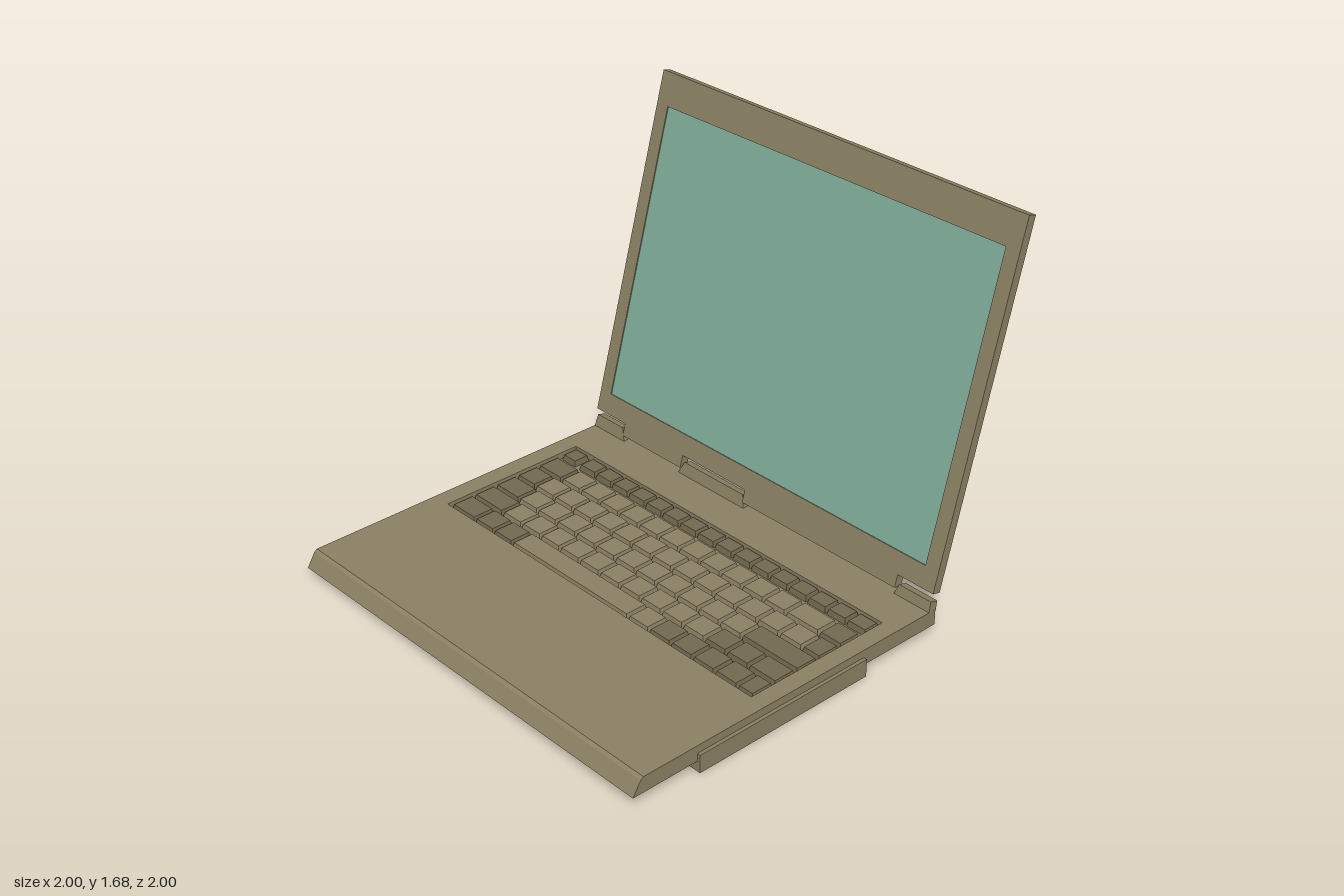
import * as THREE from 'three';

const material = (color) => new THREE.MeshStandardMaterial({ color });
const L = -0.995, R = 0.985; // side edges of base and lid

export function createModel() {
  const model = new THREE.Group();
  const shell = material(0x8c8164);
  const darkKey = material(0x726950);
  const glass = material(0x80ae9a);

  const add = (parent, name, geometry, mat) => {
    const mesh = new THREE.Mesh(geometry, mat);
    mesh.name = name;
    parent.add(mesh);
    return mesh;
  };
  const polygon = (points) => new THREE.Shape(points.map(([x, y]) => new THREE.Vector2(x, y)));
  const rect = (x0, y0, x1, y1) => polygon([[x0, y0], [x1, y0], [x1, y1], [x0, y1]]);
  const extrude = (shape, depth) => new THREE.ExtrudeGeometry(shape, { depth, bevelEnabled: false });
  const box = (x0, x1, y0, y1, z0, z1) => new THREE.BoxGeometry(x1 - x0, y1 - y0, z1 - z0)
    .translate((x0 + x1) / 2, (y0 + y1) / 2, (z0 + z1) / 2);

  // Base deck with an opening for the keyboard
  const deck = rect(L, -0.95, R, 0.583);
  deck.holes.push(rect(-0.91, -0.345, 0.907, 0.363));
  add(model, 'baseDeck', extrude(deck, 0.07).rotateX(-Math.PI / 2).translate(0, 0.045, 0), shell);
  add(model, 'keyboardTray', box(-0.92, 0.917, 0.045, 0.085, -0.37, 0.355), shell);

  // Sloped front lip
  const lip = polygon([[0.95, 0.045], [1, 0.045], [0.964, 0.105], [0.95, 0.115]]);
  add(model, 'frontLip', extrude(lip, R - L).rotateY(-Math.PI / 2).translate(R, 0, 0), shell);

  // Wide slab under the base
  add(model, 'undersideSlab', box(-1, 1, 0, 0.08, -0.18, 0.69), shell);

  // Keys: a box whose top is drawn in on all sides
  const keyboard = new THREE.Group();
  keyboard.name = 'keyboard';
  model.add(keyboard);
  const addKey = (x0, x1, z0, z1, mat) => {
    const gap = 0.004, inset = 0.006;
    const w = x1 - x0 - 2 * gap, d = z1 - z0 - 2 * gap, h = 0.027;
    const key = new THREE.BoxGeometry(w, h, d);
    const p = key.attributes.position;
    for (let i = 0; i < p.count; i++) {
      if (p.getY(i) > 0) {
        p.setX(i, p.getX(i) - Math.sign(p.getX(i)) * inset);
        p.setZ(i, p.getZ(i) - Math.sign(p.getZ(i)) * inset);
      }
    }
    key.computeVertexNormals();
    key.translate((x0 + x1) / 2, 0.084 + h / 2, (z0 + z1) / 2);
    add(keyboard, 'key', key, mat);
  };

  // Each run is [count, key width, kind]: d = dark, l = light, g = gap
  const rows = [
    [-0.36, -0.272, [[1, 0.091, 'd'], [1, 0.021, 'g'], [16, 0.1058, 'd']]],
    [-0.253, -0.137, [[1, 0.153, 'd'], [11, 0.1225, 'l'], [1, 0.181, 'l'], [1, 0.122, 'd']]],
    [-0.135, -0.019, [[1, 0.12, 'd'], [13, 0.122, 'l'], [1, 0.099, 'd']]],
    [-0.017, 0.099, [[1, 0.153, 'd'], [11, 0.1222, 'l'], [1, 0.308, 'd']]],
    [0.101, 0.216, [[1, 0.19, 'd'], [10, 0.1225, 'l'], [2, 0.12, 'd'], [1, 0.15, 'd']]],
    [0.218, 0.334, [[1, 0.153, 'd'], [2, 0.122, 'd'], [1, 0.71, 'l'], [1, 0.12, 'l'],
      [4, 0.1225, 'd'], [1, 0.088, 'd']]],
  ];
  for (const [z0, z1, runs] of rows) {
    let x = -0.903;
    for (const [count, width, kind] of runs) {
      for (let i = 0; i < count; i++, x += width) {
        if (kind !== 'g') addKey(x, x + width, z0, z1, kind === 'd' ? darkKey : shell);
      }
    }
  }

  // Hinge blocks along the rear edge, leaning back with the lid
  const tilt = -0.259;
  const hinges = [
    [[L, 0], [-0.8, 0], [-0.825, 0.055], [L + 0.008, 0.055]],
    [[-0.45, 0], [-0.05, 0], [-0.07, 0.055], [-0.425, 0.055]],
    [[0.8, 0], [R, 0], [R - 0.004, 0.045], [0.815, 0.045]],
  ];
  for (const points of hinges) {
    const hinge = add(model, 'hingeBlock', extrude(polygon(points), 0.039).translate(0, 0, -0.039), shell);
    hinge.position.set(0, 0.115, -0.546);
    hinge.rotation.x = tilt;
  }

  // Lid: solid back, bezel with an opening, recessed screen
  const lid = new THREE.Group();
  lid.name = 'lid';
  lid.position.set(0, 0.195, -0.562);
  lid.rotation.x = tilt;
  model.add(lid);
  const top = 1.541, tab = -0.057;
  const outline = [[L, 0], [-0.81, 0], [-0.81, tab], [-0.44, tab], [-0.44, 0], [-0.06, 0],
    [-0.06, tab], [0.8, tab], [0.8, 0], [R, 0], [R, top], [L, top]];
  add(lid, 'lidBack', extrude(polygon(outline), 0.032).translate(0, 0, -0.04), shell);
  const bezel = polygon(outline);
  bezel.holes.push(rect(-0.93, 0.093, 0.917, 1.398));
  add(lid, 'screenBezel', extrude(bezel, 0.008).translate(0, 0, -0.008), shell);
  add(lid, 'screen', box(-0.93, 0.917, 0.093, 1.398, -0.012, -0.005), glass);

  return model;
}
